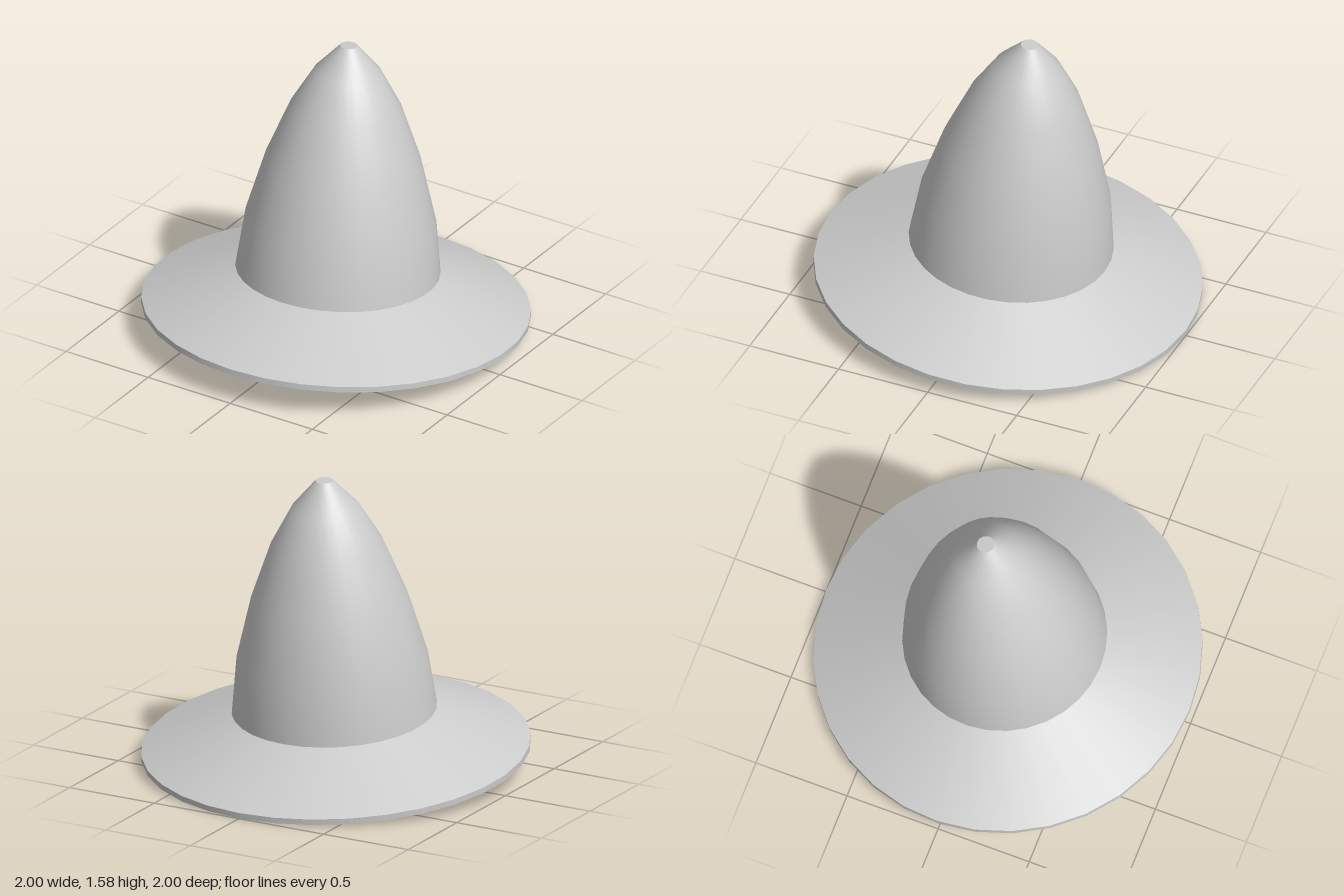
import * as THREE from 'three';

const SEGMENTS = 32;
const TILT = 0.083;

export function createModel() {
  const material = new THREE.MeshStandardMaterial({ color: 0xcccccc });
  const hat = new THREE.Group();
  hat.name = 'hat';

  // Each profile is its own lathe, so the creases between parts stay sharp
  const addLathe = (name, profile) => {
    const points = profile.map(([r, y]) => new THREE.Vector2(r, y));
    const mesh = new THREE.Mesh(new THREE.LatheGeometry(points, SEGMENTS), material);
    mesh.name = name;
    hat.add(mesh);
  };

  // Wide brim: flat underside, thin rim, sloping top
  addLathe('brimUnderside', [[0, 0], [1, 0]]);
  addLathe('brimRim', [[1, 0], [1, 0.03]]);
  addLathe('brimTop', [[1, 0.03], [0.527, 0.231]]);

  // Tall rounded crown with a small flat tip
  addLathe('crown', [
    [0.527, 0.231], [0.493, 0.514], [0.403, 0.85],
    [0.288, 1.15], [0.173, 1.352], [0.045, 1.495],
  ]);
  addLathe('crownTip', [[0.045, 1.495], [0, 1.495]]);

  // Lean the hat back so the rear of the brim touches the ground
  hat.rotation.x = -TILT;
  hat.position.y = Math.sin(TILT);

  const model = new THREE.Group();
  model.name = 'brimmedHat';
  model.add(hat);
  return model;
}
